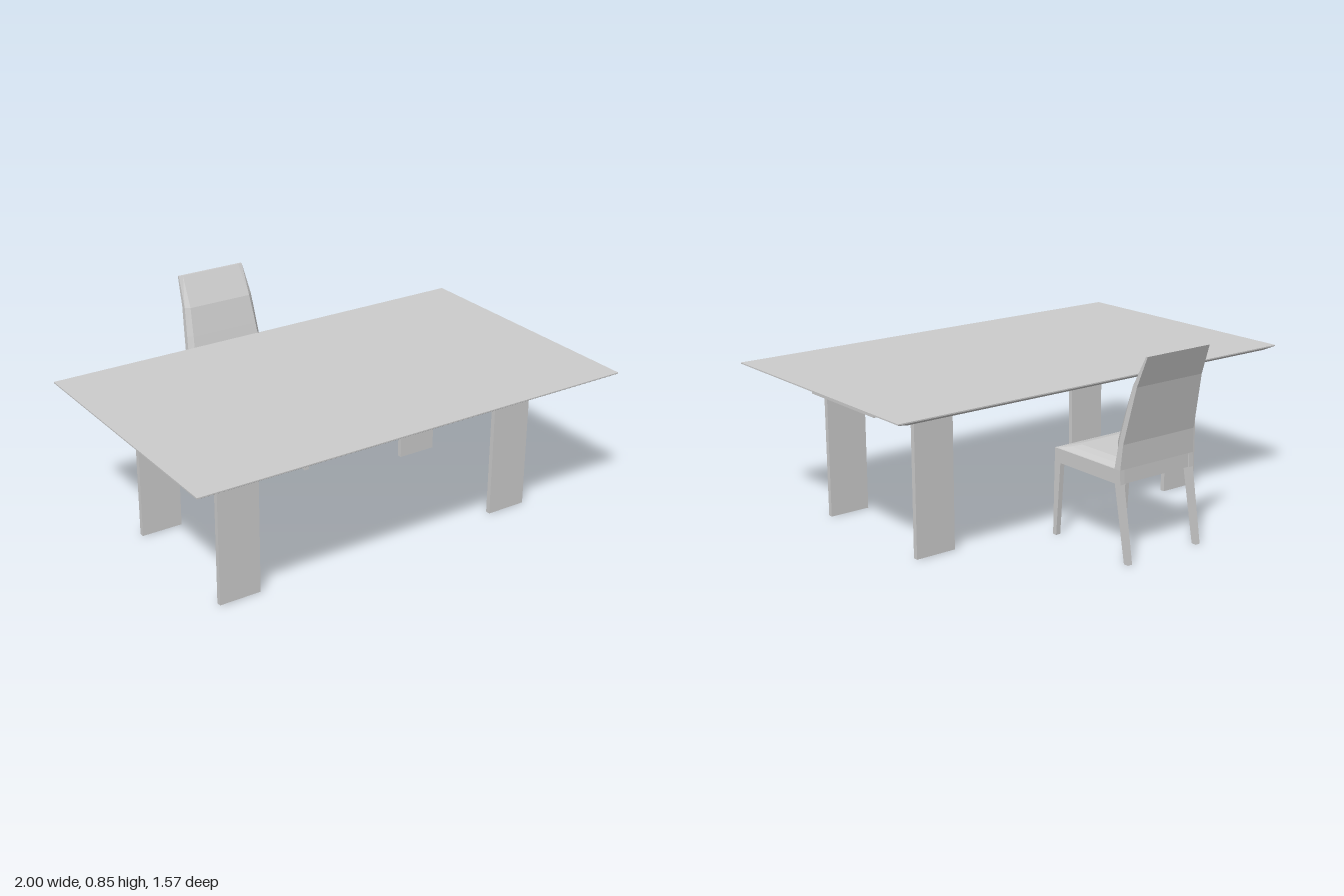
import * as THREE from 'three';

const material = new THREE.MeshStandardMaterial({ color: 0xcccccc, flatShading: true });

function addMesh(parent, name, geometry) {
  const mesh = new THREE.Mesh(geometry, material);
  mesh.name = name;
  parent.add(mesh);
  return mesh;
}

// Box given by its limits on each axis
function addBox(parent, name, [x0, x1], [y0, y1], [z0, z1]) {
  const mesh = addMesh(parent, name, new THREE.BoxGeometry(x1 - x0, y1 - y0, z1 - z0));
  mesh.position.set((x0 + x1) / 2, (y0 + y1) / 2, (z0 + z1) / 2);
}

// Horizontal rectangle, counter-clockwise from above
const rect = (y, x0, x1, z0, z1) => [[x0, y, z1], [x1, y, z1], [x1, y, z0], [x0, y, z0]];

// Rectangle with cut corners
const octagon = (y, x0, x1, z0, z1, c) => [
  [x0 + c, y, z1], [x1 - c, y, z1], [x1, y, z1 - c], [x1, y, z0 + c],
  [x1 - c, y, z0], [x0 + c, y, z0], [x0, y, z0 + c], [x0, y, z1 - c],
];

// Closed solid through rings listed from bottom to top
function loft(rings) {
  const positions = [];
  const tri = (a, b, c) => positions.push(...a, ...b, ...c);
  const n = rings[0].length;
  for (let r = 0; r < rings.length - 1; r++) {
    const low = rings[r], high = rings[r + 1];
    for (let i = 0; i < n; i++) {
      const j = (i + 1) % n;
      tri(low[i], low[j], high[j]);
      tri(low[i], high[j], high[i]);
    }
  }
  const first = rings[0], last = rings[rings.length - 1];
  for (let i = 1; i < n - 1; i++) {
    tri(first[0], first[i + 1], first[i]);
    tri(last[0], last[i], last[i + 1]);
  }
  const geometry = new THREE.BufferGeometry();
  geometry.setAttribute('position', new THREE.Float32BufferAttribute(positions, 3));
  geometry.computeVertexNormals();
  return geometry;
}

function createTable() {
  const table = new THREE.Group();
  table.name = 'table';

  // Top with underside bevelled to a thin edge
  addMesh(table, 'tableTop', loft([
    rect(0.645, -0.95, 0.95, -0.388, 0.763),
    rect(0.659, -1, 1, -0.41, 0.785),
    rect(0.664, -1, 1, -0.41, 0.785),
  ]));

  // Rectangular support frame under the top
  const [x0, x1, z0, z1, w] = [-0.9, 0.885, -0.065, 0.4, 0.06];
  const y = [0.59, 0.614];
  for (const z of [z0, z1 - w]) addBox(table, 'longRail', [x0, x1], y, [z, z + w]);
  for (const x of [x0, x1 - w]) addBox(table, 'crossRail', [x, x + w], y, [z0 + w, z1 - w]);

  // Two inverted U-shaped leg panels
  for (const x of [[-0.77, -0.585], [0.575, 0.76]]) {
    const shape = new THREE.Shape([
      [-0.155, 0], [-0.133, 0], [-0.133, 0.56], [0.494, 0.56],
      [0.494, 0], [0.515, 0], [0.515, 0.59], [-0.155, 0.59],
    ].map(([z, h]) => new THREE.Vector2(-z, h)));
    const geometry = new THREE.ExtrudeGeometry(shape, { depth: x[1] - x[0], bevelEnabled: false });
    geometry.rotateY(Math.PI / 2);
    geometry.translate(x[0], 0, 0);
    addMesh(table, 'legFrame', geometry);
  }
  return table;
}

function createChair() {
  const chair = new THREE.Group();
  chair.name = 'chair';
  const h = 0.197; // half width

  // Apron around the seat, open below
  for (const s of [-1, 1]) {
    const x = s > 0 ? [h - 0.022, h] : [-h, -h + 0.022];
    addBox(chair, 'sideApron', x, [0.32, 0.38], [-0.672, -0.275]);
    // Tapered front leg and splayed back leg
    addMesh(chair, 'frontLeg', loft([
      rect(0, ...x, -0.284, -0.264),
      rect(0.32, ...x, -0.31, -0.273),
    ]));
    addMesh(chair, 'backLeg', loft([
      rect(0, ...x, -0.73, -0.706),
      rect(0.32, ...x, -0.678, -0.645),
      rect(0.38, ...x, -0.675, -0.642),
    ]));
  }
  const inner = [-h + 0.022, h - 0.022];
  addBox(chair, 'frontApron', inner, [0.32, 0.38], [-0.3, -0.275]);
  addBox(chair, 'backApron', inner, [0.32, 0.38], [-0.672, -0.648]);

  // Seat cushion with sloping edges
  addMesh(chair, 'seatCushion', loft([
    octagon(0.365, -0.185, 0.185, -0.645, -0.28, 0.01),
    octagon(0.38, -0.19, 0.19, -0.645, -0.277, 0.012),
    octagon(0.393, -0.165, 0.165, -0.62, -0.32, 0.02),
    octagon(0.401, -0.13, 0.13, -0.59, -0.35, 0.02),
  ]));

  // Backrest levels: height, half width, back z, seam z, pad front z
  const levels = [
    [0.38, 0.197, -0.676, -0.642, -0.641],
    [0.485, 0.19, -0.683, -0.657, -0.63],
    [0.6, 0.182, -0.709, -0.684, -0.66],
    [0.724, 0.173, -0.737, -0.714, -0.696],
    [0.852, 0.164, -0.785, -0.776, -0.773],
  ];
  addMesh(chair, 'backrestShell', loft(levels.map(([y, w, back, seam]) => rect(y, -w, w, back, seam))));
  addMesh(chair, 'backrestPad', loft(levels.map(([y, w, , seam, front]) => [
    [-w + 0.02, y, front], [w - 0.02, y, front], [w, y, seam], [-w, y, seam],
  ])));

  chair.position.x = -0.047;
  return chair;
}

export function createModel() {
  const model = new THREE.Group();
  model.name = 'diningSet';
  model.add(createTable(), createChair());
  return model;
}
